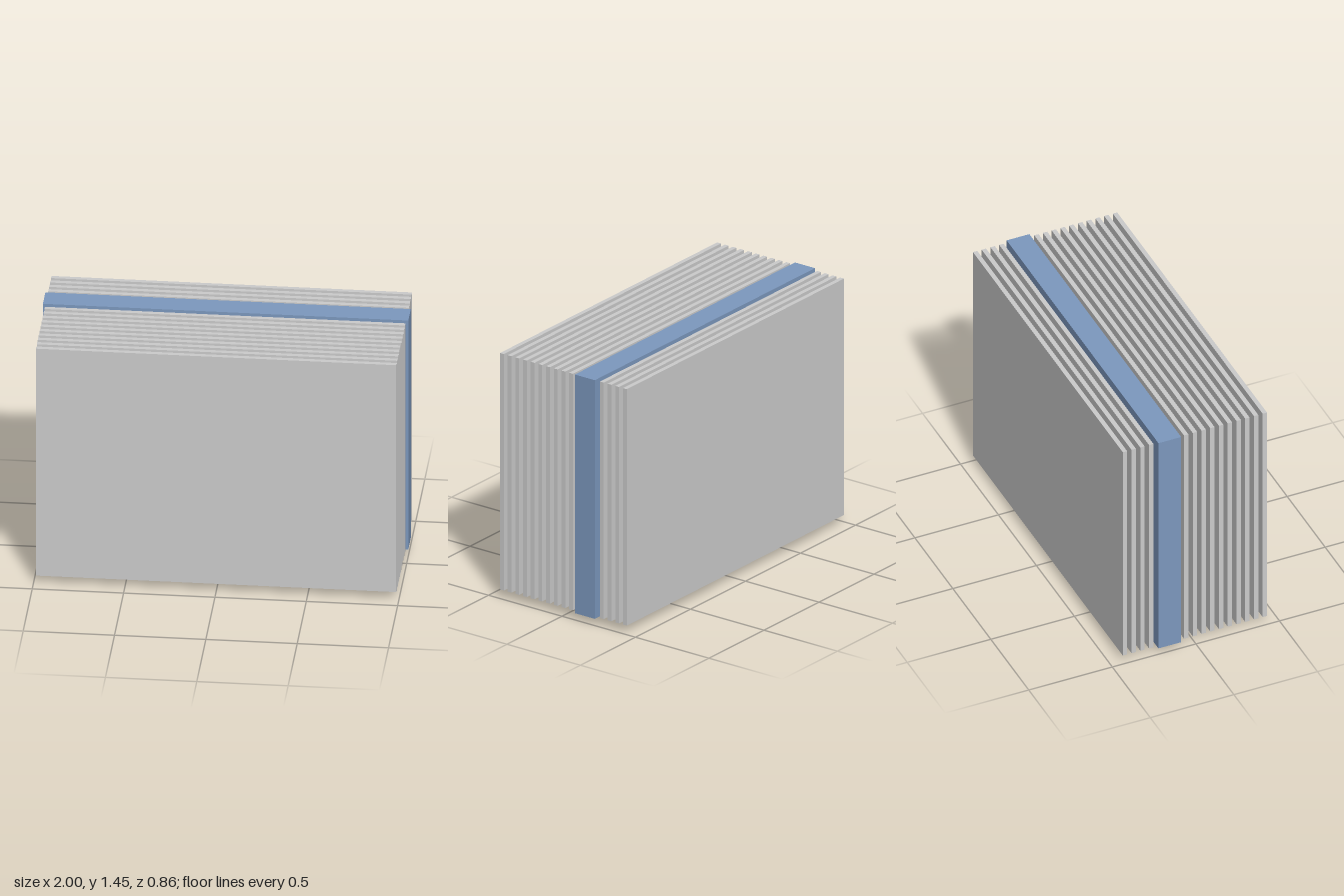
import * as THREE from 'three';

export function createModel() {
  const model = new THREE.Group();
  const grey = new THREE.MeshStandardMaterial({ color: 0xcccccc });
  const blue = new THREE.MeshStandardMaterial({ color: 0x7c98be });

  // Box given by its extents, centred on x = 0
  function addBox(name, material, width, [y0, y1], [z0, z1]) {
    const mesh = new THREE.Mesh(new THREE.BoxGeometry(width, y1 - y0, z1 - z0), material);
    mesh.name = name;
    mesh.position.set(0, (y0 + y1) / 2, (z0 + z1) / 2);
    model.add(mesh);
  }

  // Evenly spaced thin panels; the core takes the place of three of them
  const count = 17, pitch = 0.0523, thickness = 0.026;
  for (let i = 0; i < count; i++) {
    if (i >= 10 && i <= 12) continue;
    const z = ((count - 1) / 2 - i) * pitch;
    addBox(`panel${i + 1}`, grey, 1.974, [0.047, 1.44], [z - thickness / 2, z + thickness / 2]);
  }

  // Thick core slab, slightly larger than the panels
  addBox('core', blue, 2, [0.04, 1.446], [-0.224, -0.088]);

  // Low foot under the core
  addBox('foot', grey, 0.85, [0, 0.058], [-0.204, -0.042]);

  return model;
}
